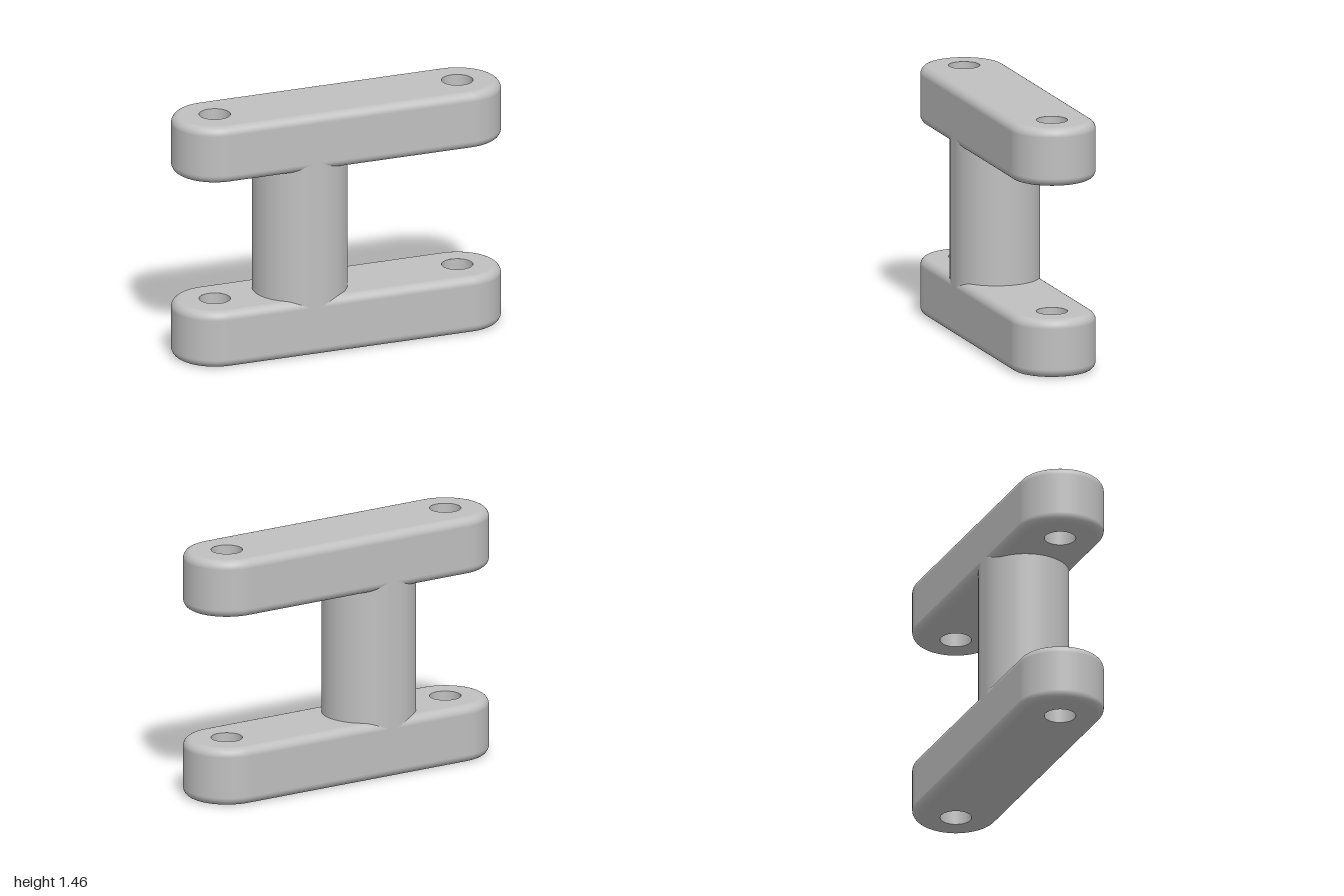
import * as THREE from 'three';

const R = 0.25;        // half depth of bars and post
const FILLET = 0.05;   // rounding of the bar edges
const BAR_H = 0.34;
const HOLE_X = 0.75;
const HOLE_R = 0.09;

// Slot-shaped side wall: half = half distance between the two arc centres,
// profile = rows of [radius, y, outward normal, vertical normal], bottom to top.
function slotWall(half, profile, seg = 32) {
  const pos = [], nor = [], idx = [];
  const cols = 2 * (seg + 1);
  for (const [r, y, n, ny] of profile) {
    for (let side = 0; side < 2; side++) {
      for (let k = 0; k <= seg; k++) {
        const a = -Math.PI / 2 + Math.PI * (side + k / seg);
        const cx = side === 0 ? half : -half;
        pos.push(cx + r * Math.cos(a), y, r * Math.sin(a));
        nor.push(n * Math.cos(a), ny, n * Math.sin(a));
      }
    }
  }
  for (let i = 0; i < profile.length - 1; i++) {
    for (let j = 0; j < cols; j++) {
      const a = i * cols + j, b = i * cols + (j + 1) % cols;
      idx.push(a, a + cols, b, b, a + cols, b + cols);
    }
  }
  const g = new THREE.BufferGeometry();
  g.setAttribute('position', new THREE.Float32BufferAttribute(pos, 3));
  g.setAttribute('normal', new THREE.Float32BufferAttribute(nor, 3));
  g.setIndex(idx);
  return g;
}

// Rounded edge profile from bottom face to top face
function filletProfile(steps = 8) {
  const rows = [];
  for (const end of [0, 1]) {
    for (let k = 0; k <= steps; k++) {
      const t = (Math.PI / 2) * (end - 1 + k / steps);
      const cy = end ? BAR_H - FILLET : FILLET;
      rows.push([R - FILLET + FILLET * Math.cos(t), cy + FILLET * Math.sin(t), Math.cos(t), Math.sin(t)]);
    }
  }
  return rows;
}

// Flat slot face pierced by the two bolt holes
function faceGeometry() {
  const r = R - FILLET;
  const s = new THREE.Shape();
  s.absarc(HOLE_X, 0, r, -Math.PI / 2, Math.PI / 2, false);
  s.absarc(-HOLE_X, 0, r, Math.PI / 2, Math.PI * 1.5, false);
  for (const x of [-HOLE_X, HOLE_X]) {
    s.holes.push(new THREE.Path().absarc(x, 0, HOLE_R, 0, Math.PI * 2, true));
  }
  return new THREE.ShapeGeometry(s, 32);
}

export function createModel() {
  const grey = new THREE.MeshStandardMaterial({ color: 0xc0c0c0, side: THREE.DoubleSide });
  grey.name = 'grey';
  const model = new THREE.Group();
  model.name = 'doubleBarLink';

  const add = (parent, name, geometry) => {
    const m = new THREE.Mesh(geometry, grey);
    m.name = name;
    parent.add(m);
    return m;
  };

  // Two identical bars with rounded ends and bolt holes
  for (const [name, y] of [['lowerBar', 0], ['upperBar', 1.12]]) {
    const bar = new THREE.Group();
    bar.name = name;
    bar.position.y = y;
    add(bar, 'barSide', slotWall(HOLE_X, filletProfile()));
    add(bar, 'barTop', faceGeometry().rotateX(-Math.PI / 2)).position.y = BAR_H;
    add(bar, 'barBottom', faceGeometry().rotateX(Math.PI / 2));
    for (const x of [-HOLE_X, HOLE_X]) {
      add(bar, 'holeWall', new THREE.CylinderGeometry(HOLE_R, HOLE_R, BAR_H, 48, 1, true))
        .position.set(x, BAR_H / 2, 0);
    }
    model.add(bar);
  }

  // Off-centre post, flush with the bar sides
  const post = slotWall(0.025, [[R, BAR_H - FILLET, 1, 0], [R, 1.12 + FILLET, 1, 0]]);
  add(model, 'post', post).position.x = -0.225;

  return model;
}
